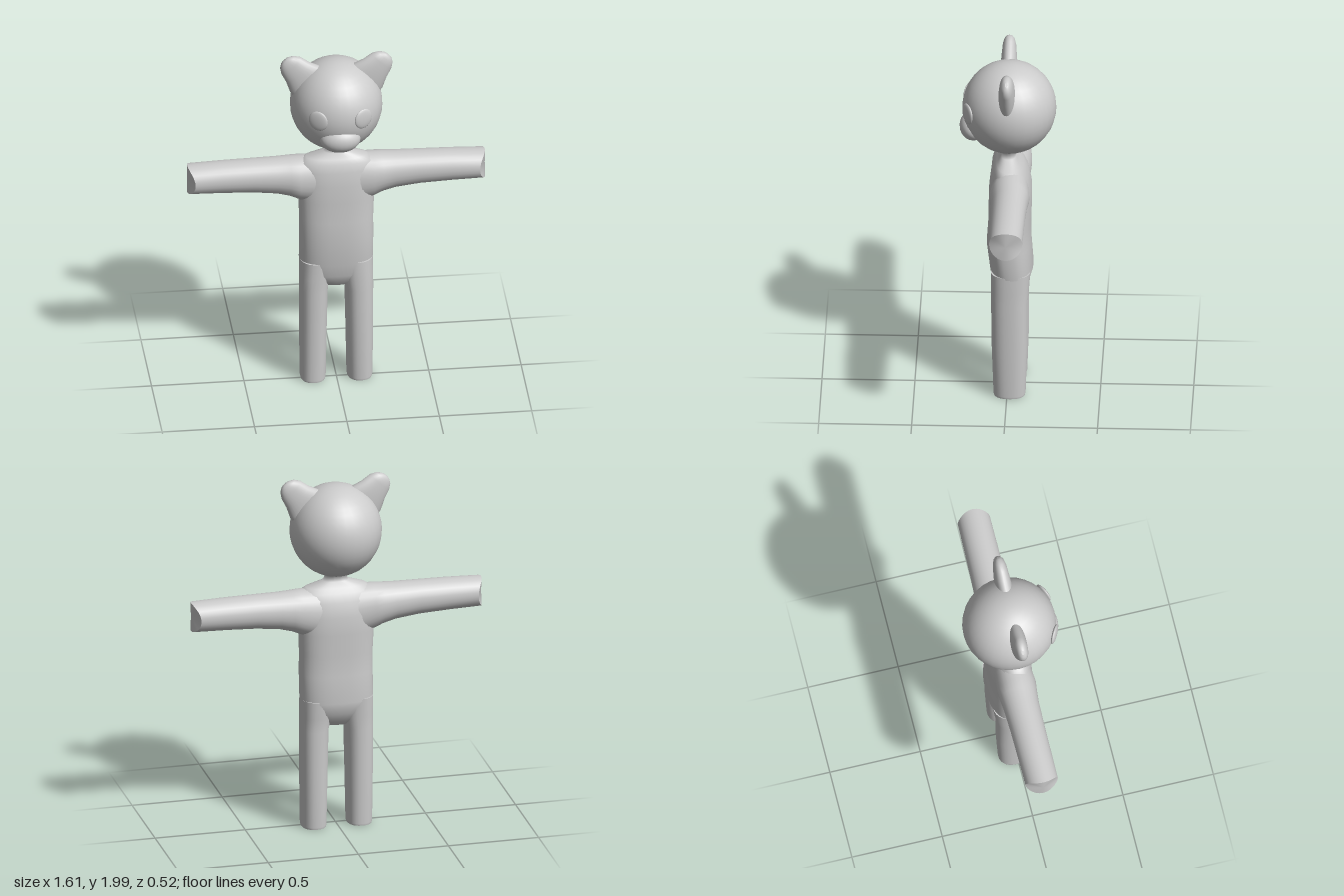
import * as THREE from 'three';

const material = new THREE.MeshStandardMaterial({ color: 0xcccccc });

function addMesh(parent, name, geometry) {
  const mesh = new THREE.Mesh(geometry, material);
  mesh.name = name;
  parent.add(mesh);
  return mesh;
}

// Closed loft. Each section is [t, aMin, aMax, bMin, bMax]; place(t, a, b) returns a Vector3.
function loft(sections, place, power = 2, n = 28) {
  const pos = [], index = [];
  const o = place(0, 0, 0);
  const [T, A, B] = [place(1, 0, 0), place(0, 1, 0), place(0, 0, 1)].map((v) => v.sub(o));
  const flip = A.cross(B).dot(T) < 0;
  const tri = (a, b, c) => (flip ? index.push(a, c, b) : index.push(a, b, c));
  const round = (v) => Math.sign(v) * Math.abs(v) ** (2 / power);
  const ring = ([t, a0, a1, b0, b1]) => {
    for (let i = 0; i < n; i++) {
      const u = (i / n) * Math.PI * 2;
      const a = (a0 + a1) / 2 + ((a1 - a0) / 2) * round(Math.cos(u));
      const b = (b0 + b1) / 2 + ((b1 - b0) / 2) * round(Math.sin(u));
      pos.push(...place(t, a, b).toArray());
    }
  };
  sections.forEach(ring);
  for (let j = 0; j < sections.length - 1; j++) {
    for (let i = 0; i < n; i++) {
      const k = (i + 1) % n, p = j * n, q = p + n;
      tri(p + i, p + k, q + k);
      tri(p + i, q + k, q + i);
    }
  }
  // Caps have their own vertices so that the rims stay sharp
  [sections[0], sections.at(-1)].forEach((s, end) => {
    const start = pos.length / 3;
    ring(s);
    pos.push(...place(s[0], (s[1] + s[2]) / 2, (s[3] + s[4]) / 2).toArray());
    for (let i = 0; i < n; i++) {
      const k = (i + 1) % n;
      if (end) tri(start + i, start + k, start + n);
      else tri(start + k, start + i, start + n);
    }
  });
  const g = new THREE.BufferGeometry();
  g.setAttribute('position', new THREE.Float32BufferAttribute(pos, 3));
  g.setIndex(index);
  g.computeVertexNormals();
  return g;
}

function ellipsoid(parent, name, center, radii, w = 24, h = 16) {
  const mesh = addMesh(parent, name, new THREE.SphereGeometry(1, w, h));
  mesh.position.set(...center);
  mesh.scale.set(...radii);
  return mesh;
}

export function createModel() {
  const model = new THREE.Group();
  model.name = 'bearFigure';

  // Torso with crotch, shoulders and neck
  addMesh(model, 'torso', loft([
    [0.58, -0.07, 0.07, -0.06, 0.035],
    [0.61, -0.14, 0.14, -0.09, 0.065],
    [0.66, -0.185, 0.185, -0.118, 0.085],
    [0.73, -0.2, 0.2, -0.138, 0.095],
    [0.88, -0.2, 0.2, -0.127, 0.113],
    [1.0, -0.2, 0.2, -0.125, 0.105],
    [1.12, -0.205, 0.205, -0.13, 0.103],
    [1.22, -0.21, 0.21, -0.128, 0.1],
    [1.3, -0.21, 0.21, -0.11, 0.09],
    [1.345, -0.205, 0.205, -0.085, 0.075],
    [1.37, -0.165, 0.165, -0.065, 0.06],
    [1.4, -0.07, 0.07, -0.045, 0.038],
    [1.43, -0.055, 0.055, -0.037, 0.033],
    [1.48, -0.1, 0.1, -0.09, 0.08],
  ], (t, a, b) => new THREE.Vector3(a, t, b), 2.5, 36));

  // Head, muzzle
  const head = new THREE.Group();
  head.name = 'head';
  model.add(head);
  ellipsoid(head, 'skull', [0, 1.69, -0.008], [0.249, 0.257, 0.253], 32, 20);
  ellipsoid(head, 'muzzle', [0, 1.573, 0.185], [0.11, 0.075, 0.075]);

  for (const s of [1, -1]) {
    const side = s > 0 ? 'left' : 'right';

    // Shallow eye lying on the head surface
    const eye = ellipsoid(head, side + 'Eye', [s * 0.122, 1.706, 0.213], [0.055, 0.058, 0.014], 24, 12);
    eye.rotation.y = s * 0.5;

    // Flat ear, fanning out from the head
    addMesh(head, side + 'Ear', loft([
      [-0.08, -0.12, 0.12, -0.045, 0.045],
      [0, -0.11, 0.109, -0.045, 0.045],
      [0.06, -0.085, 0.083, -0.041, 0.041],
      [0.115, -0.073, 0.068, -0.036, 0.036],
      [0.145, -0.053, 0.05, -0.028, 0.028],
      [0.16, -0.03, 0.03, -0.018, 0.018],
      [0.165, -0.012, 0.012, -0.007, 0.007],
    ], (t, a, b) => new THREE.Vector3(
      s * (0.17 + 0.67 * t + 0.74 * a), 1.85 + 0.74 * t - 0.67 * a, b), 2.2));

    // Arm, flaring into the shoulder and ending in a curved cut
    addMesh(model, side + 'Arm', loft([
      [0.1, 1.08, 1.365, -0.115, 0.085],
      [0.2, 1.112, 1.364, -0.123, 0.092],
      [0.25, 1.135, 1.361, -0.121, 0.085],
      [0.32, 1.154, 1.357, -0.115, 0.079],
      [0.45, 1.17, 1.355, -0.11, 0.076],
      [0.62, 1.178, 1.352, -0.107, 0.075],
      [0.805, 1.183, 1.345, -0.105, 0.074],
    ], (t, a, b) => new THREE.Vector3(
      s * (t > 0.8 ? t - 0.036 * ((b + 0.015) / 0.09) ** 2 : t), a, b), 2.1));

    // Leg, running up into the hip
    addMesh(model, side + 'Leg', loft([
      [0, 0.06, 0.193, -0.097, 0.07],
      [0.012, 0.057, 0.196, -0.1, 0.073],
      [0.3, 0.052, 0.199, -0.11, 0.083],
      [0.56, 0.046, 0.2, -0.11, 0.086],
      [0.64, 0.03, 0.2, -0.118, 0.088],
      [0.74, 0.02, 0.199, -0.125, 0.088],
    ], (t, a, b) => new THREE.Vector3(s * a, t, b), 2.3));
  }
  return model;
}
